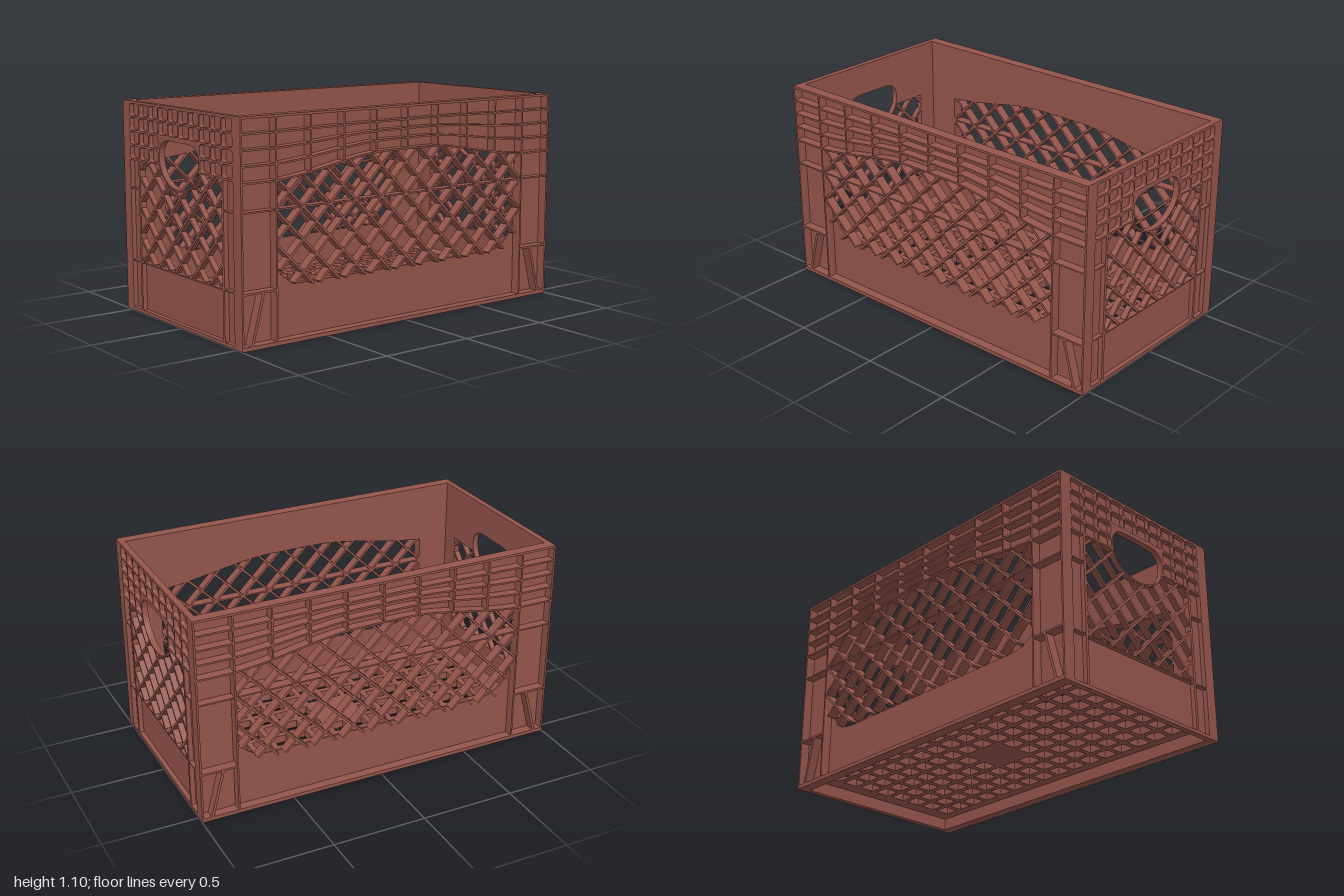
import * as THREE from 'three';

const plastic = new THREE.MeshStandardMaterial({ color: 0x94554b });
plastic.name = 'brown plastic';

const TOP = 1.104; // overall height
const EDGE = 0.99; // half length of the long walls
const lerp = THREE.MathUtils.lerp;
const V = (x, y) => new THREE.Vector2(x, y);

function add(group, name, geometry, x = 0, y = 0, z = 0) {
  const mesh = new THREE.Mesh(geometry, plastic);
  mesh.name = name;
  mesh.position.set(x, y, z);
  group.add(mesh);
  return mesh;
}

const extrude = (shape, depth) =>
  new THREE.ExtrudeGeometry(shape, { depth, bevelEnabled: false, curveSegments: 5 });

// Rectangle outline between two corners
const rect = (x0, y0, x1, y1, Type = THREE.Path) =>
  new Type([V(x0, y0), V(x1, y0), V(x1, y1), V(x0, y1)]);

// Rounded rectangle outline between two corners
function rounded(x0, y0, x1, y1, r) {
  const p = new THREE.Path();
  p.absarc(x1 - r, y0 + r, r, -Math.PI / 2, 0);
  p.absarc(x1 - r, y1 - r, r, 0, Math.PI / 2);
  p.absarc(x0 + r, y1 - r, r, Math.PI / 2, Math.PI);
  p.absarc(x0 + r, y0 + r, r, Math.PI, Math.PI * 1.5);
  p.closePath();
  return p;
}

// Straight rib lying in the wall plane between two points
function bar(group, name, x0, y0, x1, y1, width, depth) {
  const geo = new THREE.BoxGeometry(Math.hypot(x1 - x0, y1 - y0), width, depth);
  add(group, name, geo, (x0 + x1) / 2, (y0 + y1) / 2, depth / 2)
    .rotation.z = Math.atan2(y1 - y0, x1 - x0);
}

// Diagonal lattice clipped to the region where inside(x, y) holds
function lattice(group, inside, nodeY, pitch, width, depth) {
  for (const s of [-1, 1]) {
    for (let k = -10; k <= 10; k++) {
      let start = null, last = null;
      for (let y = 0.25; y <= 0.95; y += 0.004) {
        const x = k * pitch + s * (y - nodeY);
        if (inside(x, y)) {
          start = start || [x, y];
          last = [x, y];
        } else if (start) {
          if (last[1] - start[1] > 0.01) bar(group, 'latticeBar', ...start, ...last, width, depth);
          start = null;
        }
      }
    }
  }
}

// Height of an arched rib: raised in the middle, low at the ends
const arch = (x, edge, mid) => lerp(mid, edge, THREE.MathUtils.smoothstep(Math.abs(x), 0.12, 0.85));

function archRib(edge, mid, thick, depth) {
  const lower = [], upper = [];
  for (let i = 0; i <= 40; i++) {
    const x = lerp(-EDGE, EDGE, i / 40), y = arch(x, edge, mid);
    lower.push(V(x, y - thick / 2));
    upper.unshift(V(x, y + thick / 2));
  }
  return extrude(new THREE.Shape([...lower, ...upper]), depth);
}

function longWall() {
  const g = new THREE.Group();
  const D = 0.06, S = 0.01, R = 0.18;

  // Inner skin with the large arched opening
  const skin = rect(-EDGE, 0, EDGE, TOP, THREE.Shape);
  const hole = new THREE.Path();
  hole.absarc(0.795 - R, 0.275 + R, R, -Math.PI / 2, 0);
  for (let i = 0; i <= 32; i++) {
    const x = lerp(0.795, -0.795, i / 32);
    hole.lineTo(x, arch(x, 0.795, 0.88));
  }
  hole.absarc(-0.795 + R, 0.275 + R, R, Math.PI, Math.PI * 1.5);
  hole.closePath();
  skin.holes.push(hole);
  add(g, 'longSkin', extrude(skin, S));

  const inside = (x, y) => {
    const a = Math.abs(x);
    if (a > 0.8 || y < 0.272 || y > arch(x, 0.795, 0.88)) return false;
    return !(a > 0.795 - R && y < 0.275 + R && Math.hypot(a - 0.795 + R, y - 0.275 - R) > R + 0.006);
  };
  lattice(g, inside, 0.655, 0.16, 0.012, D - 0.008);

  // Top rim, bottom flange and mid rail
  bar(g, 'topRim', -EDGE, TOP - 0.006, EDGE, TOP - 0.006, 0.012, D);
  bar(g, 'bottomFlange', -EDGE, 0.01, EDGE, 0.01, 0.02, D);
  bar(g, 'midRail', -EDGE, 0.655, EDGE, 0.655, 0.008, D - 0.004);

  // Arched ribs and the uprights between them
  for (const [edge, mid] of [[1.022, 1.03], [0.947, 0.985], [0.872, 0.938], [0.793, 0.883]])
    add(g, 'archRib', archRib(edge, mid, 0.009, D));
  for (let i = -3; i <= 3; i++) {
    const x = i * 0.2;
    bar(g, 'upperRib', x, arch(x, 0.793, 0.883), x, TOP - 0.006, 0.009, D);
  }

  // Corner bays with a slanted brace
  for (const s of [-1, 1]) {
    bar(g, 'cornerPost', s * 0.8, 0, s * 0.8, TOP - 0.006, 0.009, D);
    bar(g, 'cornerShelf', s * 0.8, 0.272, s * EDGE, 0.272, 0.01, D);
    bar(g, 'cornerBrace', s * 0.945, 0.015, s * 0.877, 0.272, 0.014, D);
  }
  return g;
}

// Lower and upper halves of the hand hole
const lowerHandle = [
  ...new THREE.CubicBezierCurve(V(-0.178, 0.8), V(-0.15, 0.73), V(-0.075, 0.696), V(0, 0.696)).getPoints(10),
  ...new THREE.CubicBezierCurve(V(0, 0.696), V(0.075, 0.696), V(0.15, 0.73), V(0.178, 0.8)).getPoints(10).slice(1)];
const upperHandle = [
  ...new THREE.CubicBezierCurve(V(0.178, 0.8), V(0.2, 0.87), V(0.183, 0.932), V(0.09, 0.932)).getPoints(10),
  ...new THREE.CubicBezierCurve(V(-0.09, 0.932), V(-0.183, 0.932), V(-0.2, 0.87), V(-0.178, 0.8)).getPoints(10)];

function endWall() {
  const g = new THREE.Group();
  const D = 0.032, S = 0.008, W = 0.49;
  const opening = () => new THREE.Path([
    V(-0.385, 0.275), V(0.385, 0.275), V(0.385, 0.8), ...upperHandle, V(-0.385, 0.8)]);

  // Inner skin, open only at the window and hand hole
  const skin = rect(-W, 0, W, TOP, THREE.Shape);
  skin.holes.push(opening());
  add(g, 'endSkin', extrude(skin, S));

  // Outer frame with recessed pockets
  const frame = rect(-W, 0, W, TOP, THREE.Shape);
  frame.holes.push(opening(), rect(-0.385, 0.018, 0.385, 0.268));
  for (const s of [-1, 1])
    for (const [y0, y1] of [[0.018, 0.268], [0.275, 0.648], [0.655, 0.798]])
      frame.holes.push(rect(s * 0.4425 - 0.0415, y0, s * 0.4425 + 0.0415, y1));
  [1.059, 0.987, 0.914, 0.84].forEach((y, row) => {
    for (let i = 0; i < 10; i++) {
      const x = (i - 4.5) * 0.097;
      if (row > 1 && Math.abs(x) < 0.2) continue;
      frame.holes.push(rounded(x - 0.0445, y - 0.0315, x + 0.0445, y + 0.0315, 0.014));
    }
  });
  add(g, 'endFrame', extrude(frame, D - S), 0, 0, S);

  // Thin flanges closing the corner bays of the long walls
  for (const s of [-1, 1])
    add(g, 'cornerFlange', new THREE.BoxGeometry(0.06, TOP, 0.01), s * 0.52, TOP / 2, D - 0.005);

  // Lower lip of the hand hole
  const lip = lowerHandle.map(p => V(p.x * 1.05, 0.8 + (p.y - 0.8) * 1.08));
  add(g, 'handleLip', extrude(new THREE.Shape([...lip, ...[...lowerHandle].reverse()]), D));

  const inside = (x, y) => Math.abs(x) < 0.388 && y > 0.272 && y < 0.803 &&
    (x / 0.183) ** 2 + ((y - 0.8) / 0.11) ** 2 > 1;
  lattice(g, inside, 0.33, 0.1625, 0.013, D - 0.002);
  return g;
}

// Grid floor with a solid centre pad
function floor(group) {
  const shape = rect(-0.97, -0.492, 0.97, 0.492, THREE.Shape);
  const pitch = 0.1127, h = 0.041;
  for (let i = 0; i < 16; i++) {
    for (let j = 0; j < 8; j++) {
      if ((i === 7 || i === 8) && (j === 3 || j === 4)) continue;
      const x = (i - 7.5) * pitch, y = (j - 3.5) * pitch;
      shape.holes.push(rect(x - h, y - h, x + h, y + h));
    }
  }
  add(group, 'gridFloor', extrude(shape, 0.042), 0, 0.065, 0).rotation.x = -Math.PI / 2;
}

export function createModel() {
  const crate = new THREE.Group();
  crate.name = 'crate';
  for (const s of [1, -1]) {
    const long = longWall();
    long.name = s > 0 ? 'frontWall' : 'backWall';
    long.rotation.y = s > 0 ? 0 : Math.PI;
    long.position.z = s * 0.49;
    const end = endWall();
    end.name = s > 0 ? 'leftEndWall' : 'rightEndWall';
    end.rotation.y = s * Math.PI / 2;
    end.position.x = s * 0.968;
    crate.add(long, end);
  }
  floor(crate);
  return crate;
}
